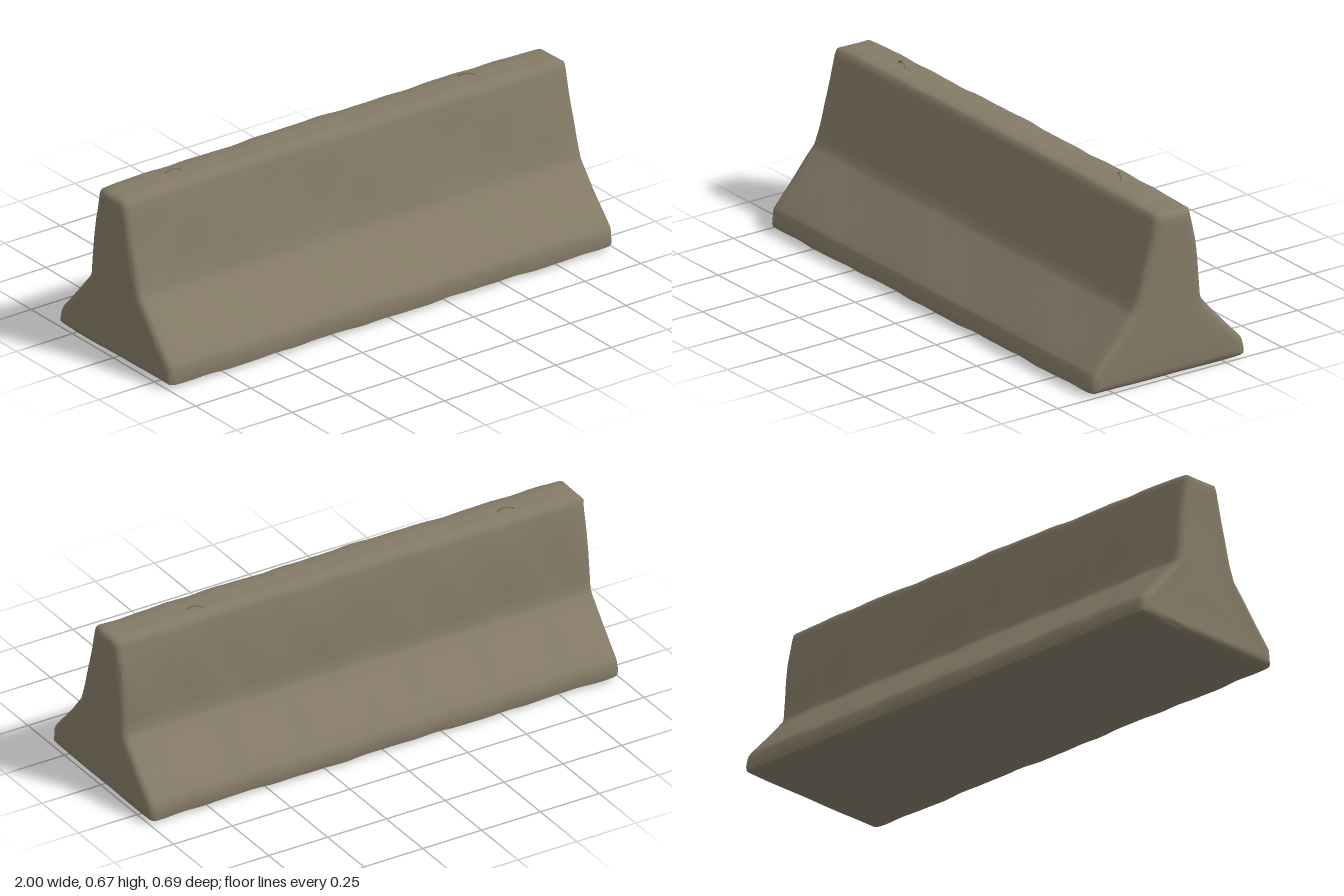
import * as THREE from 'three';
import { toCreasedNormals } from 'three/addons/utils/BufferGeometryUtils.js';

const concrete = new THREE.MeshStandardMaterial({ color: 0x847a66 });
concrete.name = 'concrete';

// Cross-section as [z, y], from the front foot over the top to the back foot
const PROFILE = [
  [0.325, 0.007], [0.341, 0.014], [0.343, 0.03], [0.338, 0.078], [0.33, 0.09],
  [0.162, 0.276], [0.151, 0.29], [0.13, 0.355], [0.062, 0.615], [0.054, 0.636], [0.042, 0.644],
  [-0.088, 0.644], [-0.099, 0.637], [-0.106, 0.615], [-0.125, 0.51], [-0.135, 0.43],
  [-0.149, 0.285], [-0.156, 0.27], [-0.325, 0.085], [-0.335, 0.066], [-0.342, 0.03],
  [-0.338, 0.012], [-0.325, 0.007], [-0.1, 0.003],
];

// Split long edges so the worn surface can undulate
function subdivide(points, step) {
  const out = [];
  points.forEach(([z, y], i) => {
    const [z2, y2] = points[(i + 1) % points.length];
    const n = Math.max(1, Math.round(Math.hypot(z2 - z, y2 - y) / step));
    for (let k = 0; k < n; k++) out.push([z + (z2 - z) * k / n, y + (y2 - y) * k / n]);
  });
  return out;
}

// Gentle cast-concrete unevenness
const wear = (x, y, z) =>
  0.0018 * Math.sin(9 * x + 14 * y + 3 * z) +
  0.0014 * Math.sin(23 * x - 17 * y + 11 * z + 1.3) +
  0.0009 * Math.sin(41 * x + 29 * y - 19 * z + 0.4);

function barrierGeometry() {
  const ring = subdivide(PROFILE, 0.045), n = ring.length;
  const centre = [-0.01, 0.2], R = 0.028;

  // Stations along the length: flat end, rounded end edge, long body
  const half = [{ x: 1, inset: R, k: 0.5 }, { x: 1, inset: R, k: 0.93 }];
  for (let a = 0; a <= 4; a++) {
    const t = a / 4 * Math.PI / 2;
    half.push({ x: 1 - R + R * Math.cos(t), inset: R * (1 - Math.sin(t)), k: 1 });
  }
  const stations = half.map(s => ({ ...s, x: -s.x }));
  for (let i = 1; i < 48; i++) stations.push({ x: (1 - R) * (i / 24 - 1), inset: 0, k: 1 });
  stations.push(...half.reverse());

  const pos = [], index = [];
  for (const { x, inset, k } of stations) {
    ring.forEach(([z, y], j) => {
      const a = ring[(j + n - 1) % n], b = ring[(j + 1) % n];
      const len = Math.hypot(b[0] - a[0], b[1] - a[1]);
      const nz = (b[1] - a[1]) / len, ny = -(b[0] - a[0]) / len;
      const d = wear(x, y, z) - inset;
      const pz = centre[0] + (z + nz * d - centre[0]) * k;
      const py = centre[1] + (y + ny * d - centre[1]) * k;
      const crown = 0.006 * (1 - x * x) * Math.max(0, py - 0.4) / 0.25;
      const bow = 0.002 * Math.sin(8 * x + 4 * pz) * k;
      pos.push(x + (k < 1 ? Math.sign(x) * bow : 0), Math.max(0, py + crown), pz);
    });
  }
  const last = stations.length - 1;
  for (let i = 0; i < last; i++) {
    for (let j = 0; j < n; j++) {
      const a = i * n + j, b = i * n + (j + 1) % n;
      index.push(a, a + n, b + n, a, b + n, b);
    }
  }
  // End caps
  const c = pos.length / 3;
  pos.push(-1, centre[1], centre[0], 1, centre[1], centre[0]);
  for (let j = 0; j < n; j++) {
    const k = (j + 1) % n;
    index.push(c, j, k, c + 1, last * n + k, last * n + j);
  }
  const g = new THREE.BufferGeometry();
  g.setAttribute('position', new THREE.Float32BufferAttribute(pos, 3));
  g.setIndex(index);
  return toCreasedNormals(g, 0.8);
}

// Bent-bar lifting eye set into the top
function liftingLoop(name, x, z, turn) {
  const pts = [];
  for (let i = 0; i <= 8; i++) {
    const t = i / 8 * Math.PI;
    pts.push(new THREE.Vector3(-0.034 * Math.cos(t), 0.024 * Math.sin(t), 0));
  }
  pts.unshift(new THREE.Vector3(-0.034, -0.015, 0));
  pts.push(new THREE.Vector3(0.034, -0.015, 0));
  const geo = new THREE.TubeGeometry(new THREE.CatmullRomCurve3(pts), 24, 0.0045, 8);
  const mesh = new THREE.Mesh(geo, concrete);
  mesh.name = name;
  mesh.position.set(x, 0.637, z);
  mesh.rotation.y = turn;
  return mesh;
}

export function createModel() {
  const model = new THREE.Group();
  model.name = 'concreteBarrier';
  const body = new THREE.Mesh(barrierGeometry(), concrete);
  body.name = 'barrierBody';
  model.add(body);
  model.add(liftingLoop('rightLiftingLoop', -0.7, -0.037, -0.24));
  model.add(liftingLoop('leftLiftingLoop', 0.625, -0.049, -0.46));
  return model;
}
